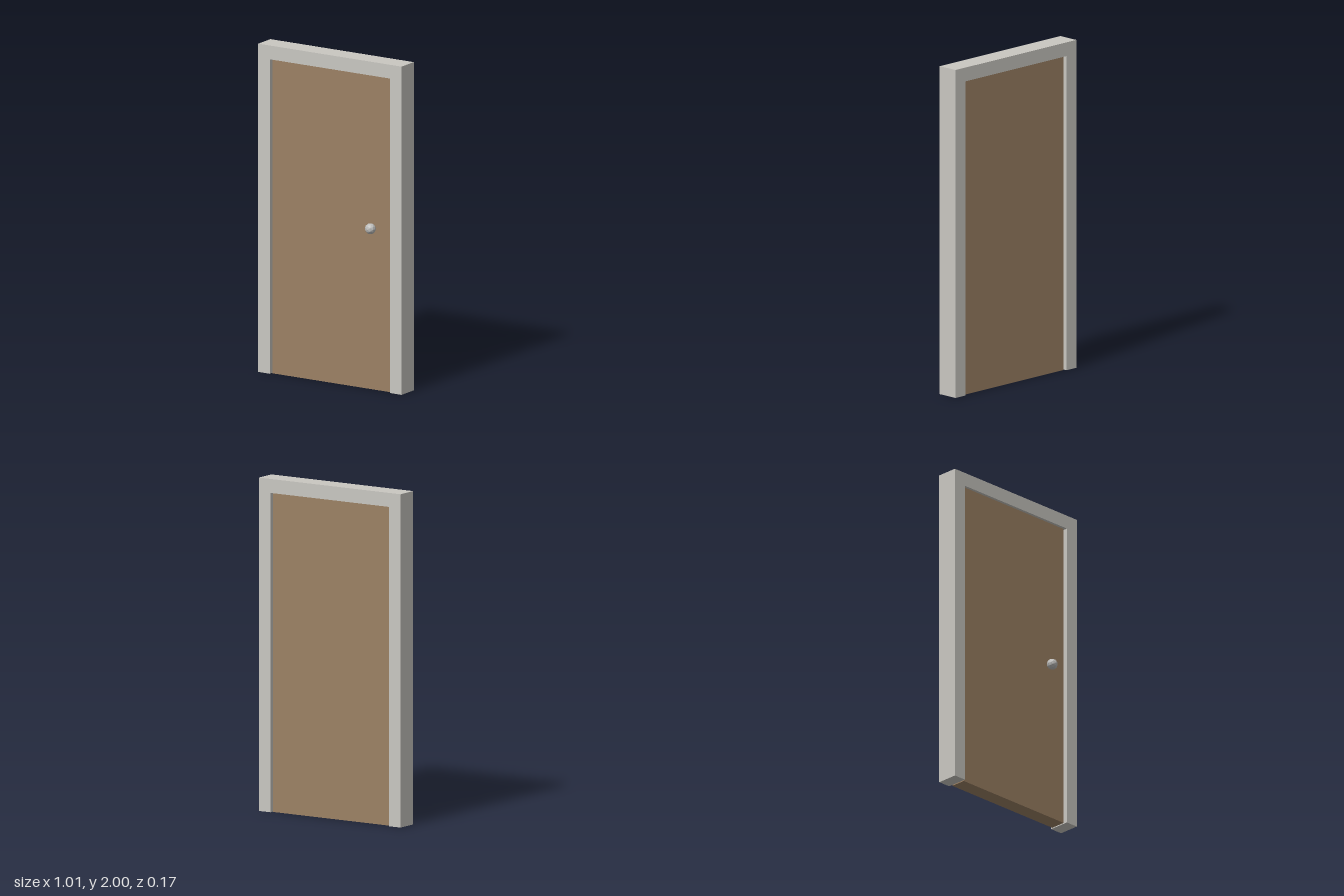
import * as THREE from 'three';

export function createModel() {
  const door = new THREE.Group();
  door.name = 'door';

  const material = (name, color) => {
    const m = new THREE.MeshStandardMaterial({ color });
    m.name = name;
    return m;
  };
  const framePaint = material('frame paint', 0xc9c7c1);
  const wood = material('door wood', 0x9c8164);
  const metal = material('knob metal', 0xbdbdbb);
  metal.flatShading = true;

  const add = (name, geometry, mat, x = 0, y = 0, z = 0) => {
    const mesh = new THREE.Mesh(geometry, mat);
    mesh.name = name;
    mesh.position.set(x, y, z);
    door.add(mesh);
  };

  // Frame: two jambs and a lintel as one arch-shaped extrusion
  const outer = 0.507, inner = 0.425, top = 2, opening = 1.916;
  const back = -0.088, depth = 0.132;
  const outline = new THREE.Shape([
    [-outer, 0], [-inner, 0], [-inner, opening], [inner, opening],
    [inner, 0], [outer, 0], [outer, top], [-outer, top],
  ].map(([x, y]) => new THREE.Vector2(x, y)));
  add('frame', new THREE.ExtrudeGeometry(outline, { depth, bevelEnabled: false }),
    framePaint, 0, 0, back);

  // Door panel, recessed on both faces with a narrow gap at each side
  const recess = 0.018;
  add('doorPanel', new THREE.BoxGeometry(0.832, opening, depth - 2 * recess),
    wood, 0, opening / 2, back + depth / 2);

  // Faceted knob on the front
  add('knob', new THREE.IcosahedronGeometry(0.033, 1), metal, 0.293, 0.985, 0.054);

  return door;
}
